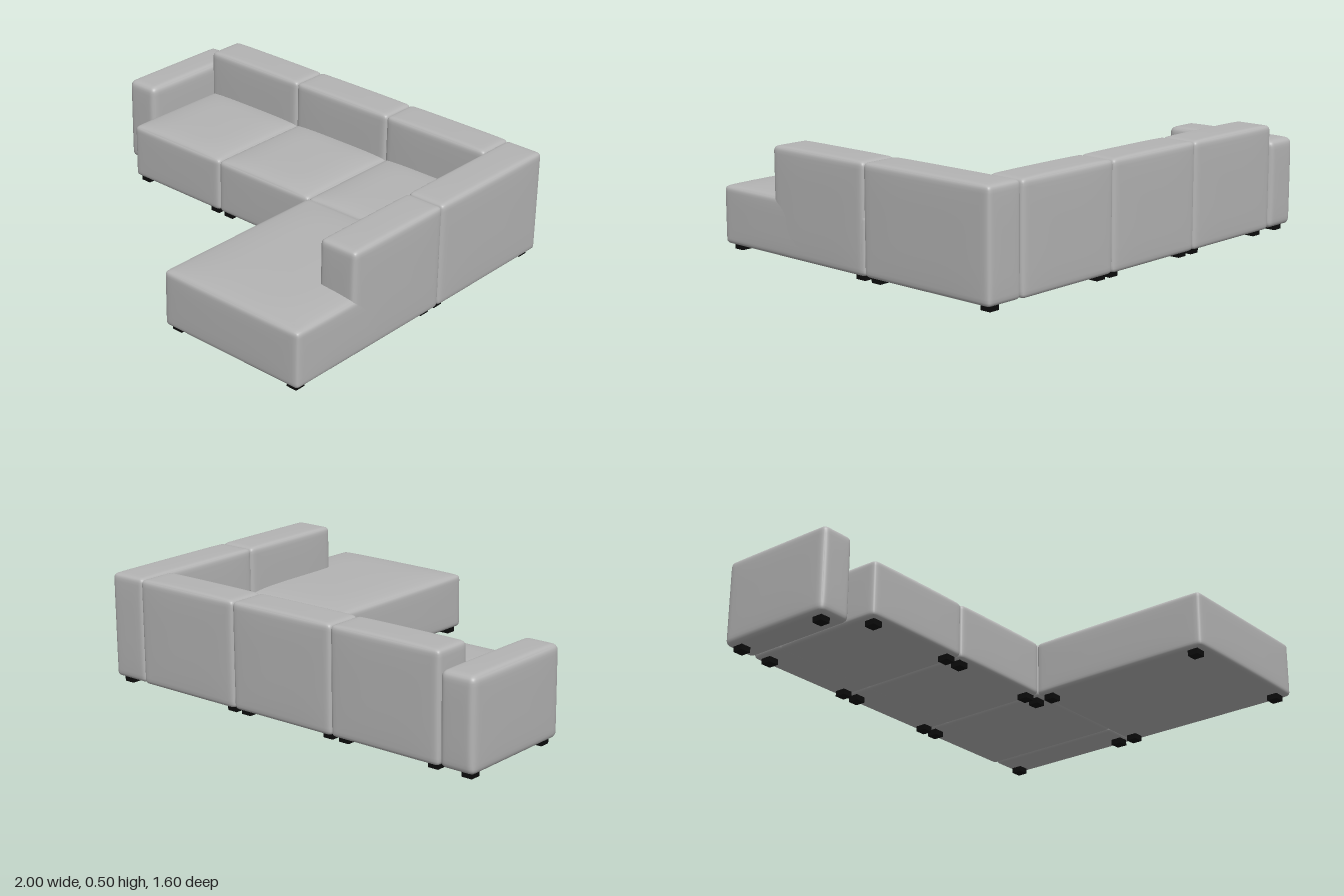
import * as THREE from 'three';
import { mergeVertices } from 'three/addons/utils/BufferGeometryUtils.js';

const BASE = 0.025; // underside of the upholstery

// Soft upholstered block between two corners: rounded edges plus gentle swelling of top and sides
function cushionGeometry([x0, x1], [y0, y1], [z0, z1], radius, dome, bulge) {
  const n = 24;
  const half = new THREE.Vector3(x1 - x0, y1 - y0, z1 - z0).multiplyScalar(0.5);
  const geo = new THREE.BoxGeometry(2, 2, 2, n, n, n);
  const pos = geo.attributes.position;
  const p = new THREE.Vector3(), inner = new THREE.Vector3();
  const lo = half.clone().subScalar(radius).negate(), hi = half.clone().subScalar(radius);
  const swell = (a, b) => (1 - a ** 4) * (1 - b ** 4);
  for (let i = 0; i < pos.count; i++) {
    // pack the grid rows towards the edges
    p.fromBufferAttribute(pos, i);
    p.set(Math.sin(p.x * Math.PI / 2), Math.sin(p.y * Math.PI / 2), Math.sin(p.z * Math.PI / 2));
    const u = p.x, v = p.y, w = p.z;
    p.multiply(half);
    inner.copy(p).clamp(lo, hi);
    p.sub(inner).normalize().multiplyScalar(radius).add(inner);
    if (v > 0) p.y += dome * v ** 4 * (1 - u ** 4) * (1 - w ** 6);
    p.x += bulge * u ** 5 * swell(v, w);
    p.z += bulge * w ** 5 * swell(u, v);
    pos.setXYZ(i, p.x, p.y, p.z);
  }
  geo.deleteAttribute('normal');
  geo.deleteAttribute('uv');
  const smooth = mergeVertices(geo, 1e-5);
  smooth.computeVertexNormals();
  smooth.translate((x0 + x1) / 2, (y0 + y1) / 2, (z0 + z1) / 2);
  return smooth;
}

export function createModel() {
  const sofa = new THREE.Group();
  sofa.name = 'cornerSofa';

  const fabric = new THREE.MeshStandardMaterial({ color: 0xb4b4b4 });
  fabric.name = 'grey fabric';
  const black = new THREE.MeshStandardMaterial({ color: 0x0c0c0c });
  black.name = 'black plastic';

  const cushion = (name, xs, top, zs, radius = 0.02, dome = 0.004, bulge = 0.004) => {
    const mesh = new THREE.Mesh(cushionGeometry(xs, [BASE, top], zs, radius, dome, bulge), fabric);
    mesh.name = name;
    sofa.add(mesh);
  };

  // Three seats, each with its backrest
  const bays = [[-0.828, -0.275], [-0.275, 0.266], [0.266, 0.812]];
  bays.forEach((xs, i) => {
    cushion(`seat${i + 1}`, xs, 0.283, [-0.64, -0.085], 0.02, 0.018, 0.003);
    cushion(`backrest${i + 1}`, xs, 0.5, [-0.796, -0.612]);
  });

  // Chaise on the left, running forward
  cushion('chaise', [0.262, 0.995], 0.283, [-0.095, 0.794], 0.02, 0.018, 0.004);

  // Tall side rests along the left, and the low armrest on the right
  cushion('cornerSideRest', [0.81, 0.996], 0.5, [-0.788, -0.092]);
  cushion('chaiseSideRest', [0.81, 0.996], 0.5, [-0.092, 0.461]);
  cushion('armrest', [-0.998, -0.832], 0.425, [-0.796, -0.218], 0.026);

  // Feet, grouped by the unit they carry
  const feet = new THREE.Group();
  feet.name = 'feet';
  const footGeo = new THREE.BoxGeometry(0.05, BASE + 0.003, 0.05);
  const addFeet = (xs, zs) => xs.forEach((x) => zs.forEach((z) => {
    const foot = new THREE.Mesh(footGeo, black);
    foot.name = 'foot';
    foot.position.set(x, (BASE + 0.003) / 2, z);
    feet.add(foot);
  }));
  addFeet([-0.945], [-0.74, -0.27]);
  addFeet([-0.78, -0.32, -0.235, 0.225, 0.305, 0.94], [-0.74, -0.13]);
  addFeet([0.305, 0.94], [-0.04, 0.74]);
  sofa.add(feet);

  return sofa;
}
